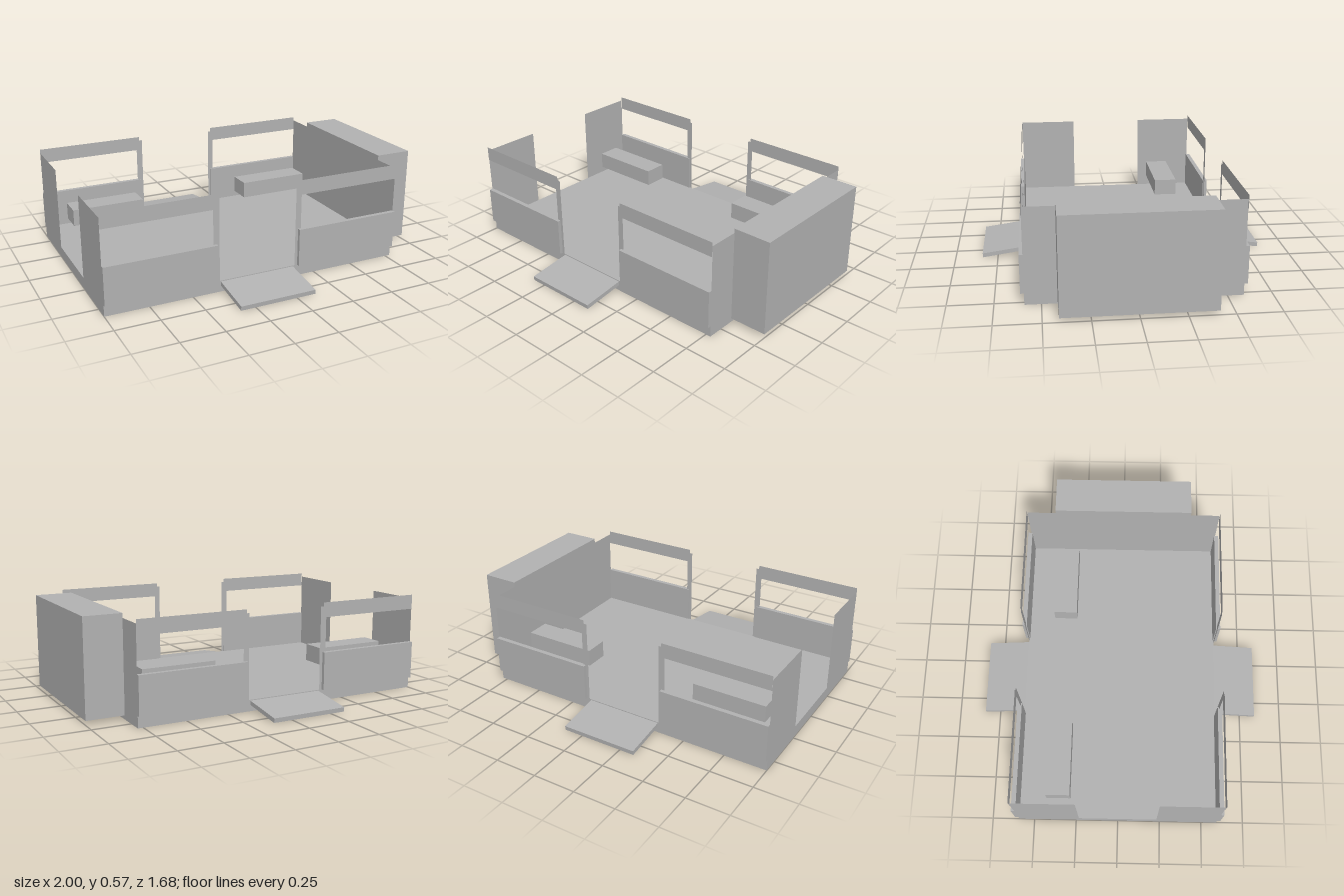
import * as THREE from 'three';

export function createModel() {
  const model = new THREE.Group();
  model.name = 'openCarriage';
  const grey = new THREE.MeshStandardMaterial({ color: 0xb2b2b2, side: THREE.DoubleSide });
  grey.name = 'plain grey';

  const add = (name, geometry) => {
    const mesh = new THREE.Mesh(geometry, grey);
    mesh.name = name;
    model.add(mesh);
    return mesh;
  };
  // Box given by its lower and upper corners
  const box = (name, x0, x1, y0, y1, z0, z1) =>
    add(name, new THREE.BoxGeometry(x1 - x0, y1 - y0, z1 - z0))
      .position.set((x0 + x1) / 2, (y0 + y1) / 2, (z0 + z1) / 2);
  // Upright sheet facing z
  const sheetZ = (name, x0, x1, y0, y1, z) =>
    add(name, new THREE.PlaneGeometry(x1 - x0, y1 - y0))
      .position.set((x0 + x1) / 2, (y0 + y1) / 2, z);
  // Upright sheet facing x
  const sheetX = (name, x, y0, y1, z0, z1) => {
    const mesh = add(name, new THREE.PlaneGeometry(Math.abs(z1 - z0), y1 - y0));
    mesh.rotation.y = Math.PI / 2;
    mesh.position.set(x, (y0 + y1) / 2, (z0 + z1) / 2);
  };

  // Floor, end cabinet and full end wall
  const floorTop = 0.065, wallTop = 0.548;
  box('floor', -1, 0.78, 0, floorTop, -0.59, 0.59);
  box('endCabinet', 0.782, 1, 0.024, 0.575, -0.415, 0.415);
  sheetX('endWall', 0.78, floorTop, wallTop, -0.59, 0.59);

  // Benches along the back
  box('rightBench', -0.9, -0.46, 0.165, 0.265, -0.42, -0.28);
  box('leftBench', 0.24, 0.68, 0.165, 0.265, -0.42, -0.28);

  for (const s of [1, -1]) {
    // Partial wall beside the open end
    sheetX('cornerWall', -1, floorTop, wallTop, s * 0.23, s * 0.59);

    // Side walls: lower panel, top rail and door post around each window
    for (const [x0, x1, p0, p1] of [[-1, -0.36, -0.38, -0.343], [0.14, 0.78, 0.123, 0.157]]) {
      box('sidePanel', x0, x1, floorTop, 0.285, Math.min(s * 0.584, s * 0.61), Math.max(s * 0.584, s * 0.61));
      sheetZ('topRail', x0, x1, 0.485, 0.57, s * 0.592);
      sheetZ('doorPost', p0, p1, floorTop, wallTop, s * 0.59);
    }

    // Sloping ramp: side profile (z, y) extruded across the doorway
    const profile = new THREE.Shape(
      [[0.59, 0.036], [0.838, 0], [0.84, 0.025], [0.59, 0.06]].map(([z, y]) => new THREE.Vector2(z, y)));
    const ramp = add('ramp', new THREE.ExtrudeGeometry(profile, { depth: 0.45, bevelEnabled: false }));
    ramp.rotation.y = -s * Math.PI / 2;
    ramp.position.x = s > 0 ? 0.113 : -0.337;
  }
  return model;
}
